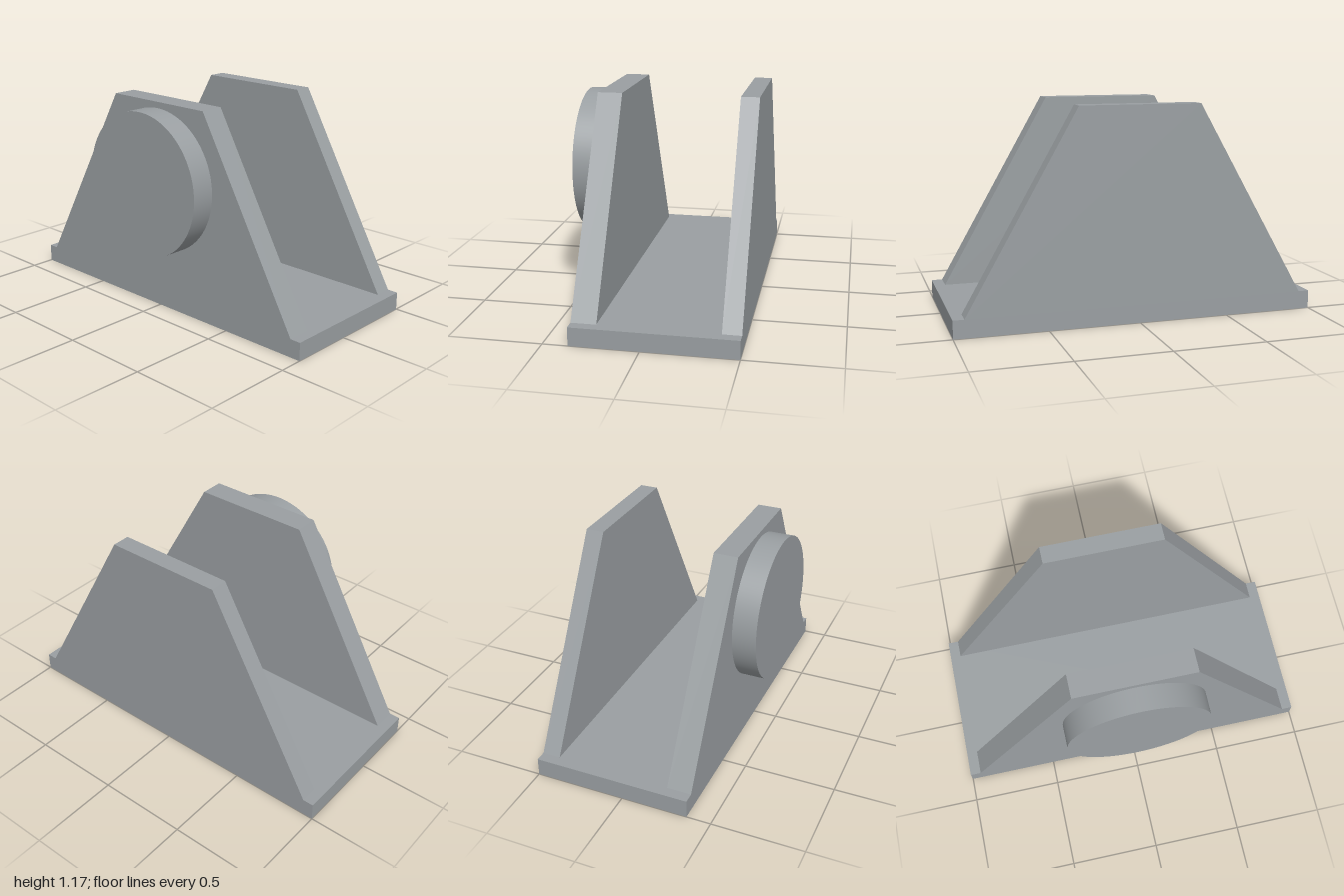
import * as THREE from 'three';

export function createModel() {
  const group = new THREE.Group();
  const grey = new THREE.MeshStandardMaterial({ color: 0x9a9fa2 });
  grey.name = 'grey metal';

  const add = (name, geometry, x, y, z = 0) => {
    const mesh = new THREE.Mesh(geometry, grey);
    mesh.name = name;
    mesh.position.set(x, y, z);
    group.add(mesh);
  };

  const outerLeft = 0.5, outerRight = -0.367, baseHeight = 0.1, top = 1.167;

  // Base plate
  const baseWidth = outerLeft - outerRight;
  add('basePlate', new THREE.BoxGeometry(baseWidth, baseHeight, 2),
    (outerLeft + outerRight) / 2, baseHeight / 2);

  // Trapezoid side walls, extruded along x
  const profile = new THREE.Shape([
    new THREE.Vector2(-0.94, 0),
    new THREE.Vector2(0.94, 0),
    new THREE.Vector2(0.333, top - baseHeight),
    new THREE.Vector2(-0.333, top - baseHeight),
  ]);
  const wall = (thickness) =>
    new THREE.ExtrudeGeometry(profile, { depth: thickness, bevelEnabled: false }).rotateY(Math.PI / 2);
  add('leftWall', wall(0.1), outerLeft - 0.1, baseHeight);
  add('rightWall', wall(0.134), outerRight, baseHeight);

  // Round boss on the outside of the thicker wall
  const bossDepth = 0.133;
  add('roundBoss', new THREE.CylinderGeometry(0.4, 0.4, bossDepth, 96).rotateZ(Math.PI / 2),
    outerRight - bossDepth / 2, 0.733);

  return group;
}
